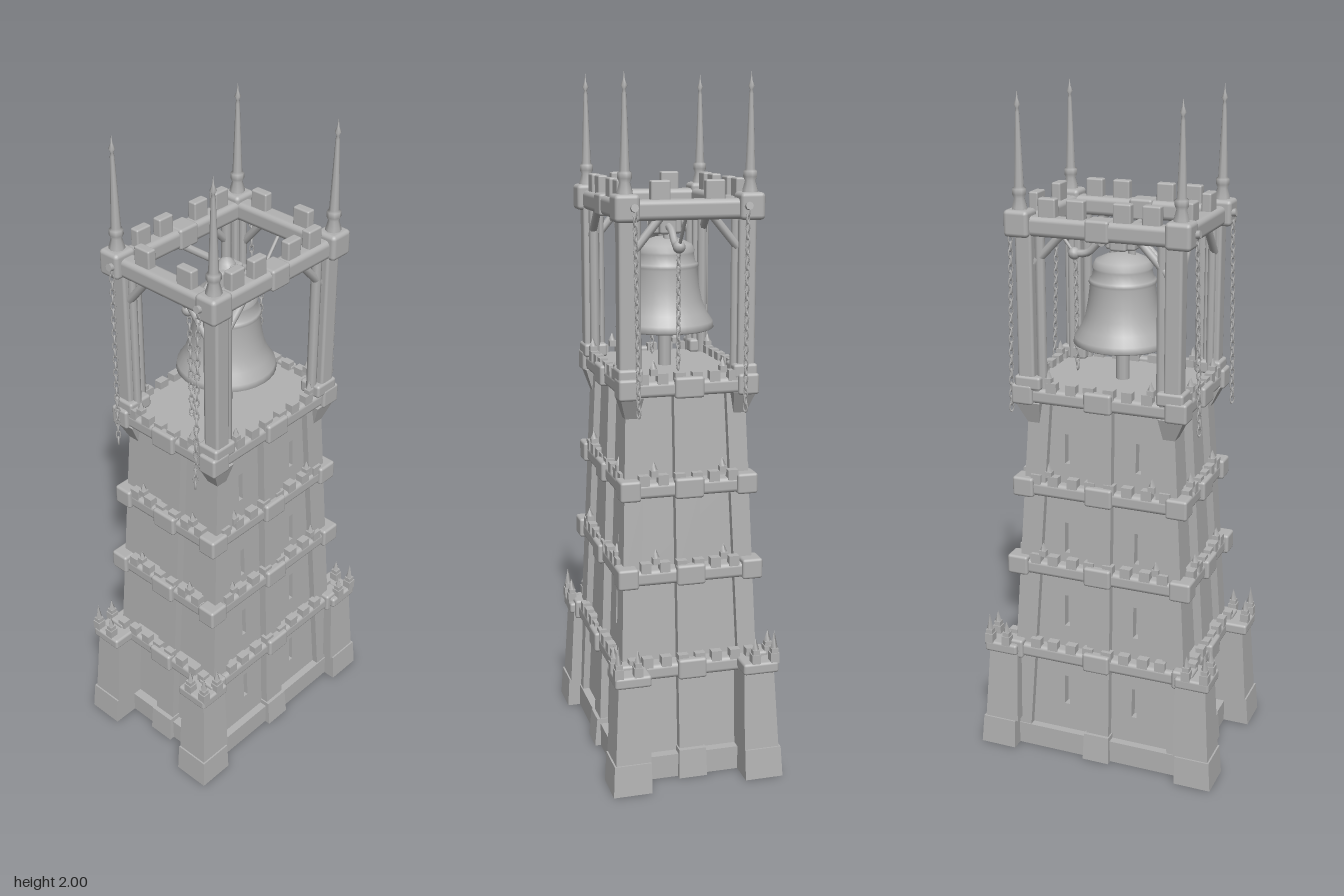
import * as THREE from 'three';
import { RoundedBoxGeometry } from 'three/addons/geometries/RoundedBoxGeometry.js';

const stone = new THREE.MeshStandardMaterial({ color: 0xb2b2b2 });
stone.name = 'grey stone';
const SIGNS = [-1, 1];
const CORNERS = [[-1, -1], [1, -1], [1, 1], [-1, 1]];

// Half sizes of the tapering shaft at height y
const outX = (y) => 0.293 - 0.064 * y;
const outZ = (y) => 0.213 - 0.035 * y;

export function createModel() {
  const root = new THREE.Group();
  root.name = 'bellTower';

  const add = (name, geo, x = 0, y = 0, z = 0, parent = root) => {
    const m = new THREE.Mesh(geo, stone);
    m.name = name;
    m.position.set(x, y, z);
    parent.add(m);
    return m;
  };
  const box = (name, w, h, d, x, y, z) => add(name, new THREE.BoxGeometry(w, h, d), x, y, z);
  const soft = (name, w, h, d, x, y, z, r = 0.008) =>
    add(name, new RoundedBoxGeometry(w, h, d, 2, r), x, y, z);

  // Four-sided block between two rectangles [x0, x1, z0, z1]
  const frustum = (name, y0, y1, b, t) => {
    const g = new THREE.BoxGeometry(1, 1, 1);
    const p = g.attributes.position;
    for (let i = 0; i < p.count; i++) {
      const r = p.getY(i) < 0 ? b : t;
      p.setXYZ(i, p.getX(i) < 0 ? r[0] : r[1], p.getY(i) < 0 ? y0 : y1, p.getZ(i) < 0 ? r[2] : r[3]);
    }
    g.computeVertexNormals();
    return add(name, g);
  };
  // Round bar between two points
  const bar = (name, a, b, r, sides = 8) => {
    const va = new THREE.Vector3(...a), vb = new THREE.Vector3(...b);
    const m = add(name, new THREE.CylinderGeometry(r, r, va.distanceTo(vb), sides));
    m.position.copy(va).add(vb).multiplyScalar(0.5);
    m.quaternion.setFromUnitVectors(new THREE.Vector3(0, 1, 0), vb.sub(va).normalize());
    return m;
  };
  const lathe = (name, pts, sides, x, y, z) =>
    add(name, new THREE.LatheGeometry(pts.map((p) => new THREE.Vector2(...p)), sides), x, y, z);
  const pinnacle = (x, y, z, h) => {
    box('pinnacleBase', 0.02, 0.018, 0.02, x, y + 0.009, z);
    add('pinnacle', new THREE.ConeGeometry(0.011, h, 4), x, y + 0.018 + h / 2, z);
  };
  // Sorted span, so mirrored blocks keep their corner order
  const span = (s, a, b) => (s > 0 ? [a, b] : [-b, -a]);

  // Shaft stages: core, slit walls, corner strips and middle pilasters
  const stages = [[0, 0.33, 0.155, 0.25], [0.33, 0.6, 0.42, 0.52], [0.6, 0.85, 0.66, 0.755], [0.85, 1.13, 0.94, 1.03]];
  for (const [y0, y1, s0, s1] of stages) {
    const inset = (y, k) => [-outX(y) + k, outX(y) - k, -outZ(y) + k, outZ(y) - k];
    const core = (y) => { const r = inset(y, 0.022); return [r[0], r[1], r[2] + 0.025, r[3] - 0.025]; };
    frustum('shaftCore', y0, y1, core(y0), core(y1));

    const wall = new THREE.Shape();
    const wx0 = outX(y0) - 0.03, wx1 = outX(y1) - 0.03;
    wall.moveTo(-wx0, 0).lineTo(wx0, 0).lineTo(wx1, y1 - y0).lineTo(-wx1, y1 - y0).closePath();
    for (const s of SIGNS) {
      const hole = new THREE.Path(), cx = s * 0.11, w = 0.008;
      hole.moveTo(cx - w, s0 - y0).lineTo(cx - w, s1 - y0).lineTo(cx + w, s1 - y0).lineTo(cx + w, s0 - y0).closePath();
      wall.holes.push(hole);
    }
    for (const s of SIGNS) {
      const g = new THREE.ExtrudeGeometry(wall, { depth: 0.027, bevelEnabled: false });
      g.translate(0, 0, -0.027);
      g.rotateX(-0.035);
      if (s < 0) g.rotateY(Math.PI);
      add('slitWall', g, 0, y0, s * (outZ(y0) - 0.02));
    }
    for (const [sx, sz] of CORNERS) {
      const rect = (y) => [...span(sx, outX(y) - 0.065, outX(y)), ...span(sz, outZ(y) - 0.055, outZ(y))];
      frustum('cornerStrip', y0, y1, rect(y0), rect(y1));
    }
    for (const s of SIGNS) {
      const pz = (y) => [-0.036, 0.036, ...span(s, outZ(y) - 0.05, outZ(y) + 0.004)];
      const px = (y) => [...span(s, outX(y) - 0.05, outX(y) + 0.004), -0.036, 0.036];
      frustum('pilaster', y0, y1, pz(y0), pz(y1));
      frustum('pilaster', y0, y1, px(y0), px(y1));
    }
  }

  // Plinth
  for (const s of SIGNS) {
    frustum('plinth', 0, 0.085, [-0.042, 0.042, ...span(s, 0.15, 0.232)], [-0.04, 0.04, ...span(s, 0.15, 0.224)]);
    frustum('plinth', 0, 0.085, [...span(s, 0.24, 0.312), -0.042, 0.042], [...span(s, 0.24, 0.306), -0.04, 0.04]);
    box('plinth', 0.56, 0.07, 0.03, 0, 0.035, s * 0.199);
    box('plinth', 0.03, 0.07, 0.4, s * 0.28, 0.035, 0);
  }

  // Crenellated bands: height of centre, half width, half depth
  for (const [y, hx, hz] of [[0.33, 0.295, 0.217], [0.608, 0.278, 0.203], [0.858, 0.26, 0.191], [1.145, 0.255, 0.192]]) {
    soft('band', hx * 2, 0.044, hz * 2, 0, y, 0, 0.012);
    const top = y + 0.03;
    for (const s of SIGNS) {
      soft('bandBlock', 0.084, 0.06, 0.03, 0, y + 0.004, s * (hz - 0.003));
      soft('bandBlock', 0.03, 0.06, 0.084, s * (hx - 0.003), y + 0.004, 0);
      for (const x of [-0.2, -0.145, -0.085, -0.03, 0.03, 0.085, 0.145, 0.2])
        box('merlon', 0.032, 0.03, 0.024, x, top, s * (hz - 0.013));
      for (const z of [-0.13, -0.075, -0.025, 0.025, 0.075, 0.13])
        box('merlon', 0.024, 0.03, 0.03, s * (hx - 0.013), top, z);
    }
    for (const [sx, sz] of CORNERS) {
      soft('bandCorner', 0.065, 0.06, 0.06, sx * (hx - 0.022), y + 0.004, sz * (hz - 0.02));
      if (y > 0.5) {
        pinnacle(sx * (hx - 0.1), top + 0.01, sz * (hz - 0.012), 0.025);
        pinnacle(sx * (hx - 0.012), top + 0.01, sz * 0.1, 0.025);
      }
    }
  }

  // Corner buttresses with caps and pinnacles
  for (const [sx, sz] of CORNERS) {
    const rect = (a, b, c, d) => [...span(sx, a, b), ...span(sz, c, d)];
    frustum('buttressFoot', 0, 0.09, rect(0.262, 0.375, 0.14, 0.253), rect(0.262, 0.368, 0.14, 0.248));
    frustum('buttress', 0.09, 0.33, rect(0.255, 0.363, 0.14, 0.243), rect(0.255, 0.347, 0.14, 0.23));
    soft('buttressCap', 0.106, 0.034, 0.106, sx * 0.307, 0.335, sz * 0.189);
    for (const dx of SIGNS) for (const dz of SIGNS) {
      const x = sx * (0.317 + dx * 0.028), z = sz * (0.202 + dz * 0.028);
      box('buttressMerlon', 0.026, 0.03, 0.026, x, 0.362, z);
      if (dx + dz > -2) pinnacle(x, 0.372, z, dx + dz > 0 ? 0.052 : 0.035);
    }
    // Corbels under the bell stage
    frustum('corbel', 1.055, 1.125, rect(0.19, 0.222, 0.14, 0.174), rect(0.18, 0.256, 0.13, 0.196));
  }

  // Bell stage: posts, braces, spires and hanging chains
  const spire = [[0, 0.36], [0.003, 0.335], [0.009, 0.32], [0.004, 0.31], [0.006, 0.3], [0.014, 0.1],
    [0.02, 0.095], [0.02, 0.08], [0.015, 0.07], [0.022, 0.045], [0.026, 0]].reverse();
  const chain = (a, b) => {
    const va = new THREE.Vector3(...a), vb = new THREE.Vector3(...b);
    const n = Math.round(va.distanceTo(vb) / 0.021);
    for (let i = 0; i <= n; i++) {
      const g = new THREE.TorusGeometry(0.0085, 0.0027, 5, 8);
      g.scale(0.75, 1.5, 1);
      const link = add('chainLink', g);
      link.position.lerpVectors(va, vb, i / n);
      link.rotation.y = Math.PI / 4 + (i % 2) * Math.PI / 2;
    }
  };
  for (const [sx, sz] of CORNERS) {
    soft('post', 0.05, 0.46, 0.05, sx * 0.22, 1.39, sz * 0.17);
    bar('slimColumn', [sx * 0.18, 1.16, sz * 0.168], [sx * 0.18, 1.62, sz * 0.168], 0.015);
    bar('slimColumn', [sx * 0.22, 1.16, sz * 0.14], [sx * 0.22, 1.62, sz * 0.14], 0.012);
    soft('postFoot', 0.08, 0.04, 0.07, sx * 0.215, 1.185, sz * 0.165);
    bar('brace', [sx * 0.195, 1.53, sz * 0.17], [sx * 0.11, 1.62, sz * 0.17], 0.012);
    bar('brace', [sx * 0.225, 1.53, sz * 0.145], [sx * 0.225, 1.62, sz * 0.07], 0.012);
    soft('crownCorner', 0.074, 0.075, 0.07, sx * 0.235, 1.642, sz * 0.176, 0.012);
    lathe('spire', spire, 8, sx * 0.235, 1.64 + 0.035 - 0.035, sz * 0.176);
    bar('chainBracket', [sx * 0.25, 1.64, sz * 0.16], [sx * 0.283, 1.645, sz * 0.16], 0.011);
    chain([sx * 0.274, 1.63, sz * 0.158], [sx * 0.288, 1.09, sz * 0.153]);
  }

  // Crown ring and battlements
  for (const s of SIGNS) {
    soft('crownBeam', 0.5, 0.056, 0.055, 0, 1.635, s * 0.168, 0.015);
    soft('crownBeam', 0.055, 0.056, 0.37, s * 0.228, 1.635, 0, 0.015);
    soft('crownBlock', 0.07, 0.062, 0.064, 0, 1.636, s * 0.168);
    for (const x of [-0.152, -0.068, 0.068, 0.152]) soft('crownMerlon', 0.052, 0.06, 0.028, x, 1.684, s * 0.17, 0.005);
    for (const z of [-0.077, 0.077]) soft('crownMerlon', 0.028, 0.06, 0.055, s * 0.228, 1.684, z, 0.005);
  }

  // Bell frame: crossing beams, hub, yoke arms and pull chains
  bar('crossBeam', [0, 1.6, -0.16], [0, 1.6, 0.16], 0.011);
  soft('hub', 0.09, 0.05, 0.05, 0, 1.575, 0);
  soft('hub', 0.05, 0.05, 0.09, 0, 1.575, 0);
  lathe('hubKnob', [[0.03, 0], [0.022, 0.015], [0.012, 0.024], [0, 0.028]], 10, 0, 1.597, 0);
  for (const s of SIGNS) {
    const arm = new THREE.CatmullRomCurve3([[0.03, 1.575], [0.07, 1.565], [0.11, 1.53], [0.15, 1.525]]
      .map(([x, y]) => new THREE.Vector3(s * x, y, 0)));
    add('yokeArm', new THREE.TubeGeometry(arm, 10, 0.011, 8));
    add('yokeKnob', new THREE.SphereGeometry(0.018, 10, 8), s * 0.15, 1.525, 0);
    bar('yokeRod', [s * 0.15, 1.525, 0], [s * 0.215, 1.61, 0], 0.005);
    chain([s * 0.146, 1.51, 0], [s * 0.143, 1.19, 0]);
    bar('strap', [s * 0.03, 1.52, 0], [s * 0.025, 1.57, 0], 0.012);
  }

  // Bell, open below, with its clapper
  lathe('bell', [[0, 1.292], [0.12, 1.292], [0.134, 1.275], [0.143, 1.28], [0.14, 1.298], [0.122, 1.325], [0.108, 1.36],
    [0.1, 1.4], [0.094, 1.45], [0.098, 1.457], [0.096, 1.466], [0.089, 1.47], [0.084, 1.495], [0.088, 1.502],
    [0.078, 1.52], [0.05, 1.533], [0.03, 1.54], [0, 1.542]], 32, 0, 0, 0);
  bar('clapper', [0, 1.16, 0], [0, 1.3, 0], 0.02, 10);

  return root;
}
